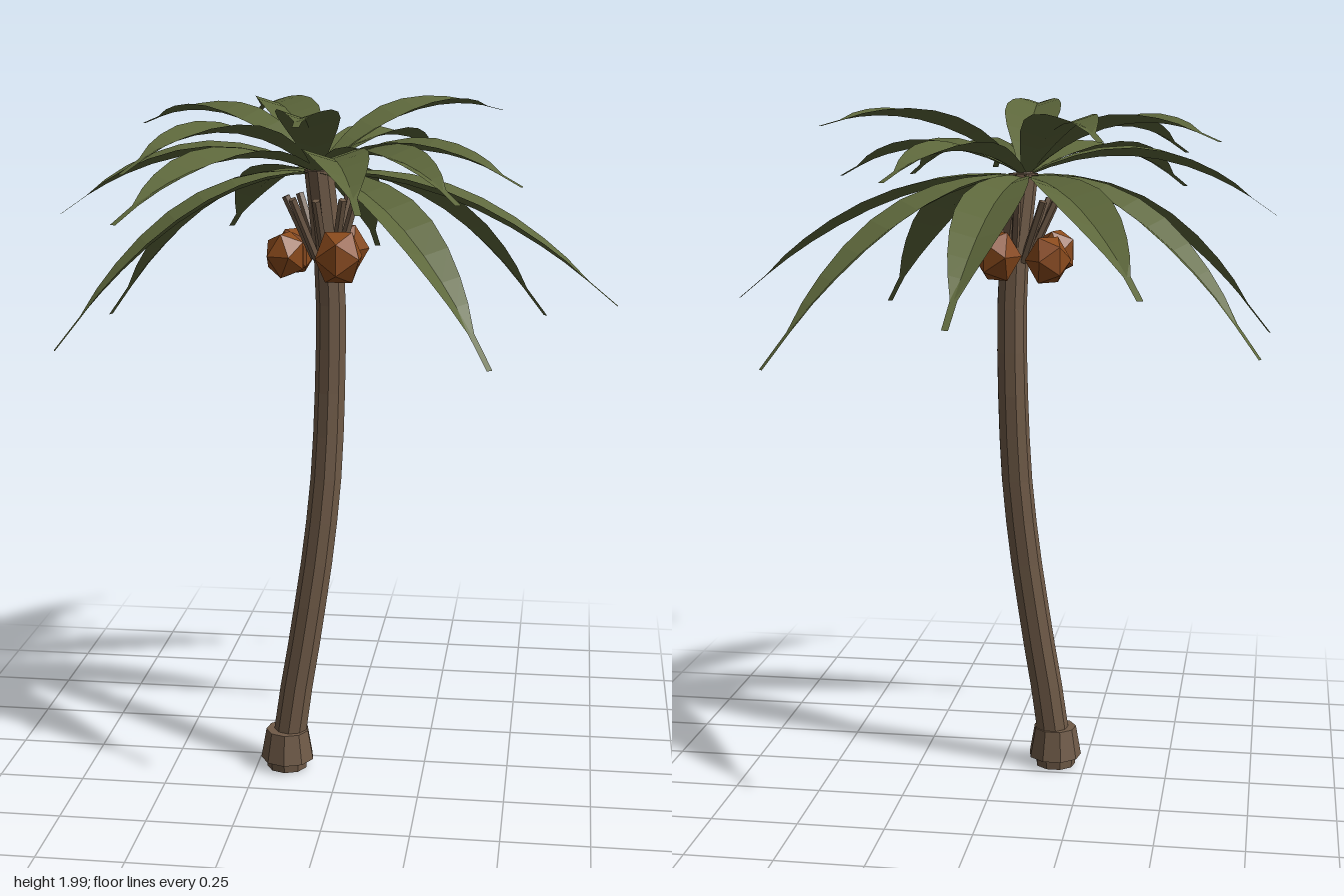
import * as THREE from 'three';

const flat = (color, name, side = THREE.FrontSide) => {
  const m = new THREE.MeshStandardMaterial({ color, flatShading: true, side });
  m.name = name;
  return m;
};

// Crown centre, where all the fronds meet
const CROWN = new THREE.Vector3(-0.07, 1.78, 0.02);

// Frond tips [x, y, z] by tier; rise is the starting slope of the arch
const TIERS = [
  { name: 'lowerFrond', rise: 0.02, tips: [
    [0.01, 1.45, -0.83], [0.78, 1.42, 0.02], [0.45, 1.35, 0.59], [-0.77, 1.31, 0.3],
    [-0.75, 1.31, -0.26], [0.57, 1.29, -0.51], [-0.46, 1.52, -0.74]] },
  { name: 'middleFrond', rise: 0.32, tips: [
    [0.14, 1.77, 0.82], [-0.49, 1.72, 0.7], [-0.78, 1.67, 0.15],
    [0.23, 1.79, -0.53], [0.51, 1.77, 0.2], [0.36, 1.76, 0.53]] },
  { name: 'upperFrond', rise: 0.49, tips: [
    [-0.02, 1.97, 0.75], [-0.5, 1.83, 0.57], [-0.63, 1.89, -0.26],
    [-0.35, 1.9, -0.65], [0.43, 1.93, -0.37]] },
];

// Blade half width along its length, ending in a narrow strip
const WIDTHS = [[0, 0.01], [0.1, 0.032], [0.2, 0.052], [0.3, 0.07], [0.42, 0.083], [0.53, 0.082],
  [0.64, 0.07], [0.74, 0.052], [0.82, 0.033], [0.9, 0.01], [1, 0.009]];

// Arched blade folded upwards along its midrib
function frondGeometry(tip, rise) {
  const flatRun = new THREE.Vector3(tip[0] - CROWN.x, 0, tip[2] - CROWN.z);
  const length = flatRun.length();
  const dir = flatRun.clone().normalize();
  const side = new THREE.Vector3(dir.z, 0, -dir.x);
  const drop = tip[1] - CROWN.y;
  const pos = [], index = [];
  WIDTHS.forEach(([t, w], i) => {
    const mid = CROWN.clone().addScaledVector(flatRun, t);
    mid.y += rise * t + (drop - rise) * t * t;
    const slope = (rise + 2 * (drop - rise) * t) / length;
    const normal = new THREE.Vector3(-dir.x * slope, 1, -dir.z * slope).normalize();
    const lift = t < 0.9 ? w * 0.32 : 0;
    for (const s of [-1, 0, 1]) {
      const p = mid.clone().addScaledVector(side, s * w).addScaledVector(normal, Math.abs(s) * lift);
      pos.push(p.x, p.y, p.z);
    }
    if (i === 0) return;
    const b = i * 3, a = b - 3;
    for (const k of [0, 1]) index.push(a + k, b + k, a + k + 1, a + k + 1, b + k, b + k + 1);
  });
  const g = new THREE.BufferGeometry();
  g.setAttribute('position', new THREE.Float32BufferAttribute(pos, 3));
  g.setIndex(index);
  const out = g.toNonIndexed();
  out.computeVertexNormals();
  return out;
}

// Cylinder bent to follow the leaning trunk line
function trunkGeometry() {
  const line = new THREE.CatmullRomCurve3([
    [-0.16, 0, 0.077], [-0.14, 0.2, 0.068], [-0.085, 0.55, 0.05], [-0.05, 0.85, 0.03],
    [-0.036, 1.15, 0.012], [-0.036, 1.5, 0.008], [-0.065, 1.79, 0.02],
  ].map(p => new THREE.Vector3(...p)));
  const samples = line.getPoints(200);
  const height = 1.79;
  const g = new THREE.CylinderGeometry(0.042, 0.05, height, 9, 14);
  g.translate(0, height / 2, 0);
  const p = g.attributes.position;
  for (let i = 0; i < p.count; i++) {
    const y = p.getY(i);
    const c = samples.find(s => s.y >= y - 1e-4) || samples[200];
    p.setX(i, p.getX(i) + c.x);
    p.setZ(i, p.getZ(i) + c.z);
  }
  g.computeVertexNormals();
  return g;
}

export function createModel() {
  const bark = flat(0x6f5a47, 'bark');
  const leaf = flat(0x5d673b, 'leaf', THREE.DoubleSide);
  const husk = flat(0x8a4a1c, 'husk');
  const palm = new THREE.Group();
  palm.name = 'palmTree';
  const add = (name, geometry, material, parent = palm) => {
    const m = new THREE.Mesh(geometry, material);
    m.name = name;
    parent.add(m);
    return m;
  };

  // Trunk and its flared foot
  add('trunk', trunkGeometry(), bark);
  add('trunkFoot', new THREE.CylinderGeometry(0.062, 0.06, 0.04, 9), bark).position.set(-0.16, 0.02, 0.077);
  add('trunkCollar', new THREE.CylinderGeometry(0.064, 0.08, 0.09, 9), bark).position.set(-0.158, 0.075, 0.077);
  add('crownCap', new THREE.CylinderGeometry(0.025, 0.03, 0.02, 8), bark).position.set(-0.07, 1.785, 0.02);

  // Fronds in three tiers
  const fronds = new THREE.Group();
  fronds.name = 'fronds';
  palm.add(fronds);
  for (const { name, rise, tips } of TIERS) {
    tips.forEach((tip, i) => add(name + (i + 1), frondGeometry(tip, rise), leaf, fronds));
  }

  // Cut leaf stalks leaning out from the trunk below the crown
  for (let i = 0; i < 8; i++) {
    const a = (i / 8) * Math.PI * 2;
    const from = new THREE.Vector3(-0.045 + 0.035 * Math.cos(a), 1.54, 0.012 + 0.035 * Math.sin(a));
    const to = new THREE.Vector3(-0.06 + 0.1 * Math.cos(a), 1.715, 0.02 + 0.1 * Math.sin(a));
    const stalk = add('cutStalk' + (i + 1), new THREE.CylinderGeometry(0.012, 0.012, from.distanceTo(to), 5), bark);
    stalk.position.copy(from).lerp(to, 0.5);
    stalk.quaternion.setFromUnitVectors(new THREE.Vector3(0, 1, 0), to.sub(from).normalize());
  }

  // Four faceted coconuts around the trunk
  [[0, 1.555, 0.1, 0.073], [-0.15, 1.56, 0.1, 0.063], [0, 1.56, -0.05, 0.07], [-0.145, 1.55, -0.045, 0.066]]
    .forEach(([x, y, z, r], i) => {
      const nut = add('coconut' + (i + 1), new THREE.IcosahedronGeometry(r, 0), husk);
      nut.position.set(x, y, z);
      nut.scale.y = 1.15;
      nut.rotation.y = i * 1.3;
    });

  return palm;
}
